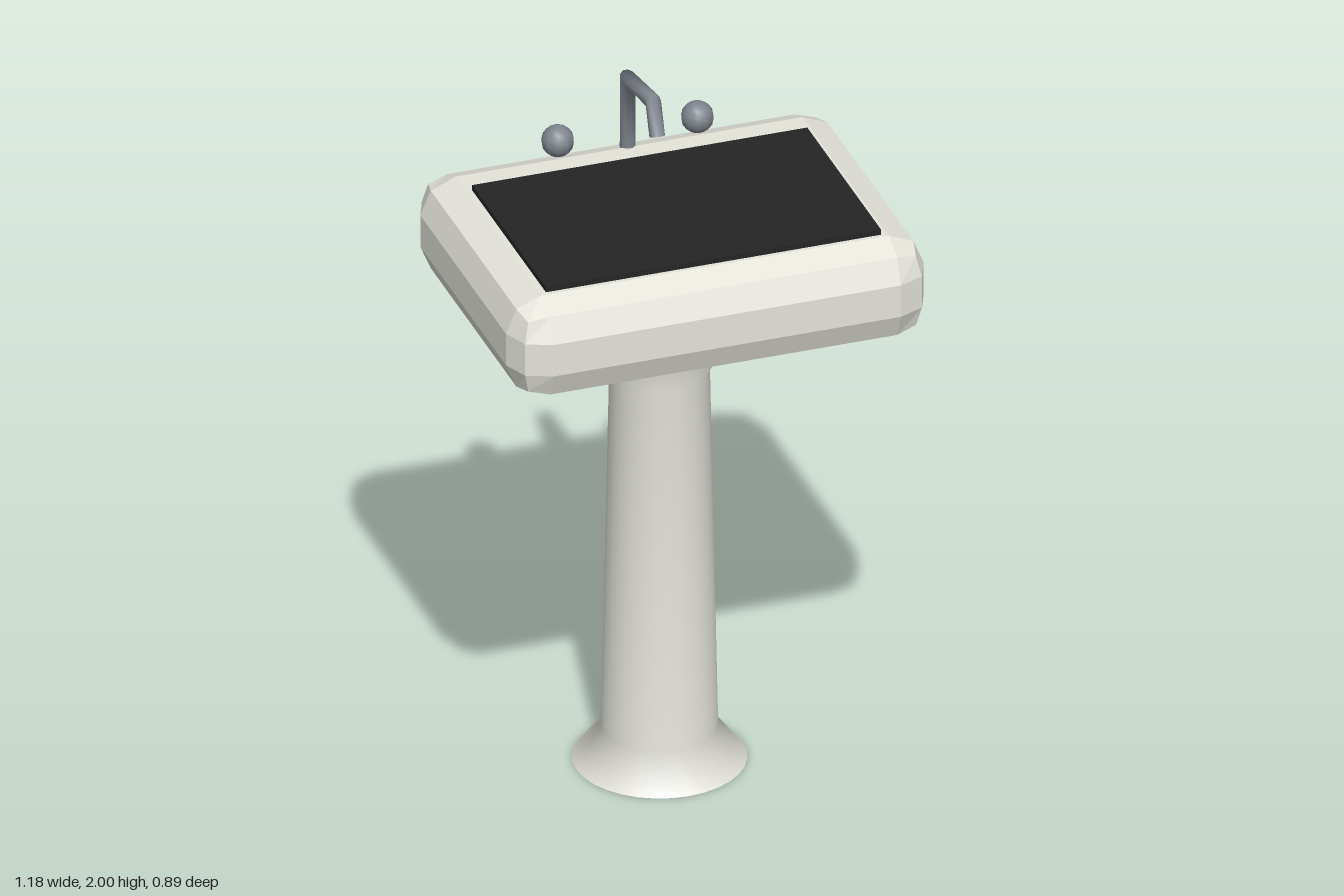
import * as THREE from 'three';
import { RoundedBoxGeometry } from 'three/addons/geometries/RoundedBoxGeometry.js';

const ceramic = new THREE.MeshStandardMaterial({ color: 0xe4e4db, side: THREE.DoubleSide });
const ceramicFlat = new THREE.MeshStandardMaterial({ color: 0xe4e4db, flatShading: true });
const dark = new THREE.MeshStandardMaterial({ color: 0x242426 });
const metal = new THREE.MeshStandardMaterial({ color: 0x7f858e, side: THREE.DoubleSide });

// Open pipe in the x = 0 plane through rings [y, z, tangentY, tangentZ]
function pipe(rings, radius, sides) {
  const positions = [], index = [];
  rings.forEach(([y, z, ty, tz], r) => {
    const len = Math.hypot(ty, tz);
    for (let i = 0; i < sides; i++) {
      const a = (i / sides) * Math.PI * 2;
      const s = Math.sin(a) * radius / len;
      positions.push(Math.cos(a) * radius, y + s * tz, z - s * ty);
      if (r > 0) {
        const j = (i + 1) % sides, p = (r - 1) * sides, q = r * sides;
        index.push(p + i, p + j, q + i, p + j, q + j, q + i);
      }
    }
  });
  const g = new THREE.BufferGeometry();
  g.setAttribute('position', new THREE.Float32BufferAttribute(positions, 3));
  g.setIndex(index);
  g.computeVertexNormals();
  return g;
}

export function createModel() {
  const group = new THREE.Group();
  const add = (name, geometry, material, x, y, z) => {
    const mesh = new THREE.Mesh(geometry, material);
    mesh.name = name;
    mesh.position.set(x, y, z);
    group.add(mesh);
  };

  // Pedestal, open at both ends and set towards the back
  const profile = [[0.235, 0], [0.157, 0.1], [0.135, 1.19], [0.235, 1.425]]
    .map(([r, y]) => new THREE.Vector2(r, y));
  add('pedestal', new THREE.LatheGeometry(profile, 32), ceramic, 0, 0, -0.1);

  // Basin block with faceted, rounded edges
  add('basin', new RoundedBoxGeometry(1.184, 0.296, 0.89, 1, 0.1), ceramicFlat, 0, 1.588, 0);

  // Dark bowl panel on the top
  add('bowlPanel', new THREE.BoxGeometry(0.95, 0.02, 0.593), dark, 0, 1.742, 0.037);

  // Tap knobs
  for (const side of [1, -1]) {
    add(side > 0 ? 'leftKnob' : 'rightKnob',
      new THREE.SphereGeometry(0.045, 10, 8), metal, side * 0.198, 1.785, -0.358);
  }

  // Spout: riser, arm and drooping nozzle
  add('spout', pipe([
    [1.73, -0.357, 1, 0],
    [1.944, -0.357, 0.8, 0.6],
    [1.976, -0.151, 0.3, 0.95],
    [1.887, -0.119, -0.9, 0.4],
  ], 0.022, 10), metal, 0, 0, 0);

  return group;
}
